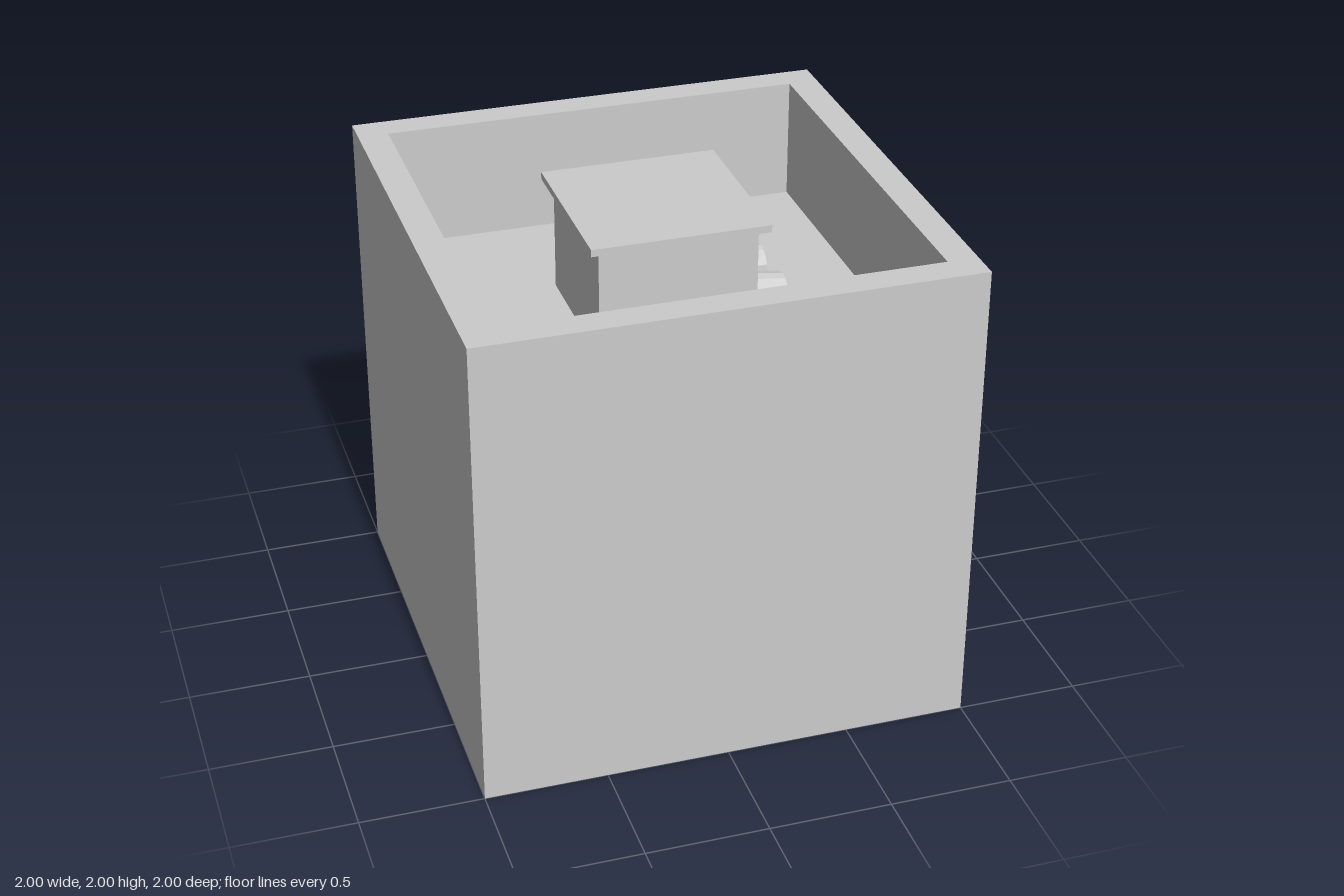
import * as THREE from 'three';

export function createModel() {
  const group = new THREE.Group();
  const material = new THREE.MeshStandardMaterial({ color: 0xcccccc, flatShading: true });
  const FLOOR = 1.49;

  function add(name, geometry, x = 0, y = 0, z = 0) {
    const mesh = new THREE.Mesh(geometry, material);
    mesh.name = name;
    mesh.position.set(x, y, z);
    group.add(mesh);
    return mesh;
  }

  function square(path, h) {
    path.moveTo(-h, -h);
    path.lineTo(h, -h);
    path.lineTo(h, h);
    path.lineTo(-h, h);
    path.closePath();
    return path;
  }

  // Solid lower block with the roof floor on top
  add('building', new THREE.BoxGeometry(2, FLOOR, 2), 0, FLOOR / 2, 0);

  // Parapet wall around the roof
  const ring = square(new THREE.Shape(), 1);
  ring.holes.push(square(new THREE.Path(), 0.875));
  const parapet = new THREE.ExtrudeGeometry(ring, { depth: 2 - FLOOR, bevelEnabled: false });
  parapet.rotateX(-Math.PI / 2);
  add('parapet', parapet, 0, FLOOR, 0);

  // Central housing with an overhanging lid
  add('housing', new THREE.BoxGeometry(0.645, 1.955 - FLOOR, 0.645), 0, (1.955 + FLOOR) / 2, 0);
  add('lid', new THREE.BoxGeometry(0.725, 0.03, 0.725), 0, 1.97, 0);

  // Pairs of tapered vents on three sides of the housing
  const vent = new THREE.CylinderGeometry(0.085, 0.114, 0.19, 16);
  vent.rotateX(Math.PI / 2);
  const sides = { front: 0, left: Math.PI / 2, back: Math.PI };
  for (const [side, angle] of Object.entries(sides)) {
    for (const offset of [-0.132, 0.132]) {
      const mesh = add(side + 'Vent', vent);
      mesh.position.set(offset, 1.56, 0.4).applyAxisAngle(new THREE.Vector3(0, 1, 0), angle);
      mesh.rotation.y = angle;
    }
  }

  return group;
}
